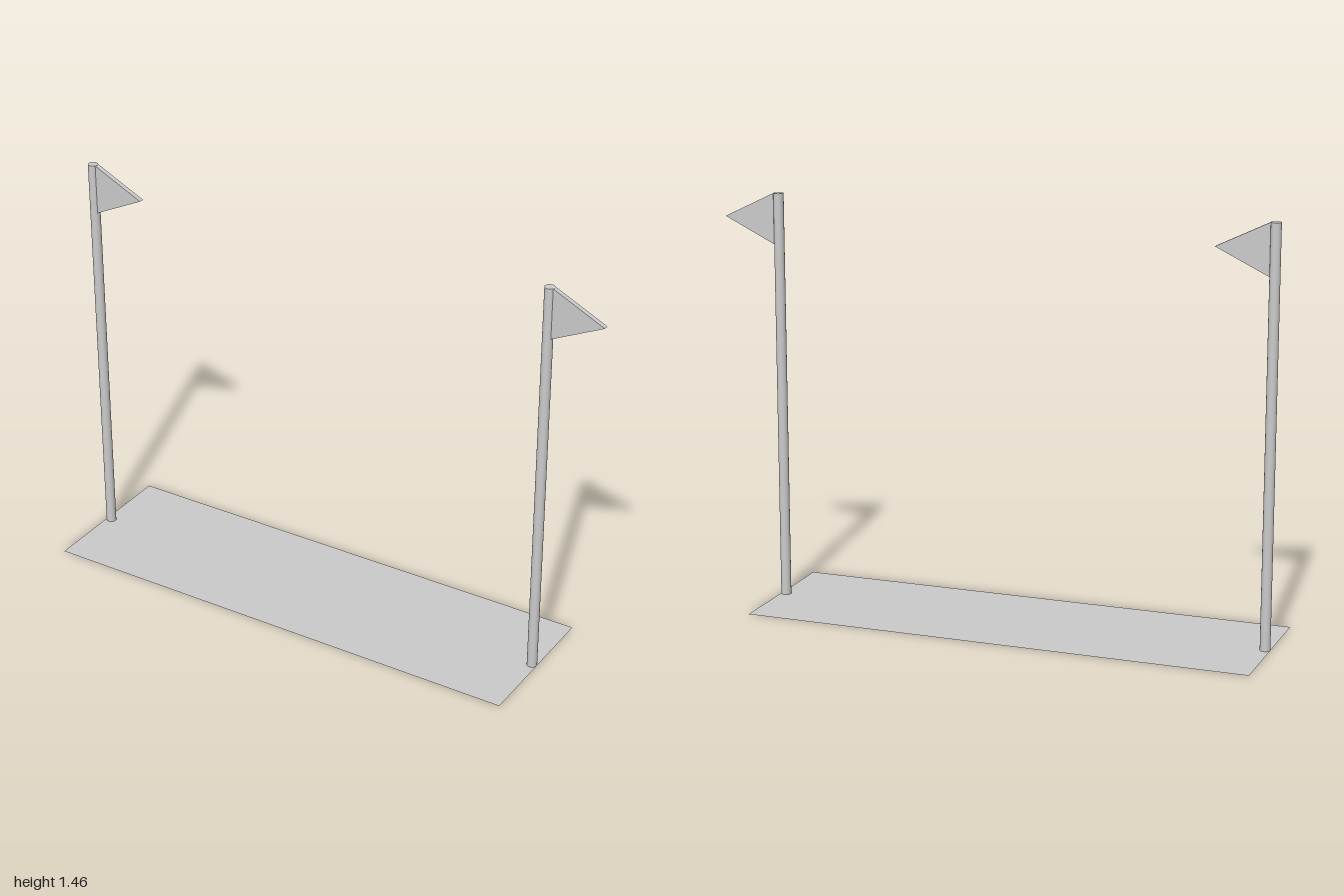
import * as THREE from 'three';

const HEIGHT = 1.456, RADIUS = 0.018, FLAG_DEPTH = 0.018;

export function createModel() {
  const model = new THREE.Group();
  const material = new THREE.MeshStandardMaterial({ color: 0xcccccc });

  // Thin ground strip spanning both poles
  const strip = new THREE.Mesh(
    new THREE.PlaneGeometry(1.816, 0.54).rotateX(-Math.PI / 2),
    new THREE.MeshStandardMaterial({ color: 0xcccccc, side: THREE.DoubleSide })
  );
  strip.name = 'groundStrip';
  strip.position.x = -0.092;
  model.add(strip);

  // Triangular pennant, hung from the top of the pole and pointing to +x
  const pennant = new THREE.Shape([
    new THREE.Vector2(RADIUS - 0.002, HEIGHT),
    new THREE.Vector2(RADIUS - 0.002, HEIGHT - 0.18),
    new THREE.Vector2(0.202, HEIGHT - 0.09),
  ]);
  const flagGeometry = new THREE.ExtrudeGeometry(pennant, { depth: FLAG_DEPTH, bevelEnabled: false });
  flagGeometry.translate(0, 0, -FLAG_DEPTH / 2);

  const poleGeometry = new THREE.CylinderGeometry(RADIUS, RADIUS, HEIGHT, 24);
  poleGeometry.translate(0, HEIGHT / 2, 0);

  // One flagpole at each end of the strip
  for (const [name, x] of [['rightFlagpole', -0.982], ['leftFlagpole', 0.798]]) {
    const flagpole = new THREE.Group();
    flagpole.name = name;
    flagpole.position.x = x;
    const pole = new THREE.Mesh(poleGeometry, material);
    pole.name = 'pole';
    const flag = new THREE.Mesh(flagGeometry, material);
    flag.name = 'flag';
    flagpole.add(pole, flag);
    model.add(flagpole);
  }
  return model;
}
